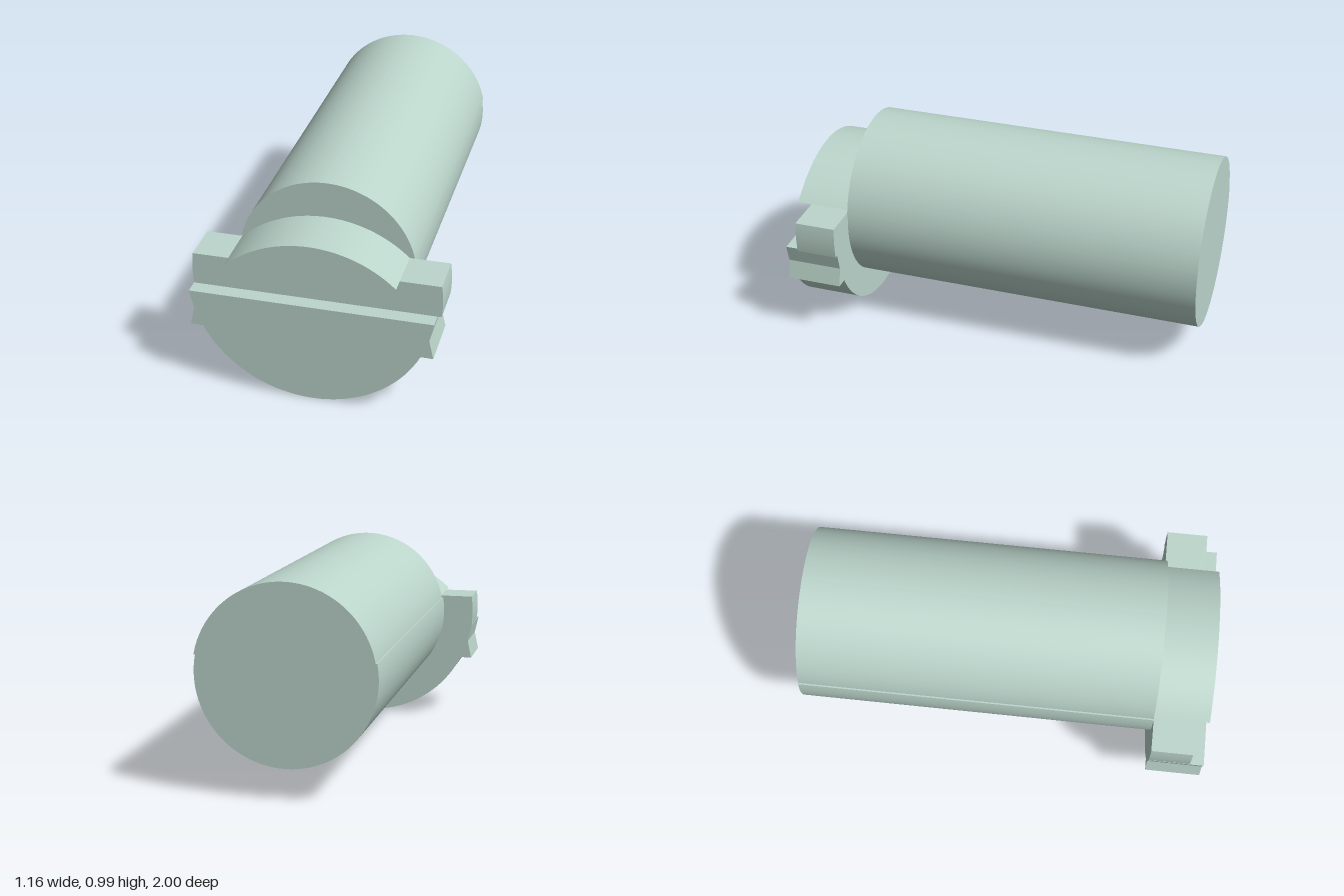
import * as THREE from 'three';
import { toCreasedNormals } from 'three/addons/utils/BufferGeometryUtils.js';

const material = new THREE.MeshStandardMaterial({ color: 0xbcd6cc });

// Extrude a front profile between two depths, smooth on arcs and sharp at corners
function slab(name, shape, z0, z1) {
  const geo = new THREE.ExtrudeGeometry(shape, {
    depth: z1 - z0, bevelEnabled: false, curveSegments: 64,
  });
  geo.translate(0, 0, z0);
  const mesh = new THREE.Mesh(toCreasedNormals(geo, 0.2), material);
  mesh.name = name;
  return mesh;
}

// Angle of a point around a centre
const angle = (cx, cy, x, y) => Math.atan2(y - cy, x - cx);

export function createModel() {
  const group = new THREE.Group();
  group.name = 'slottedPin';
  const back = 0.73;

  // Shaft: upper arc, then a lower arc shifted slightly sideways, leaving a fine seam
  const r = 0.418, cy = 0.567, seam = 0.645, shift = -0.007;
  const a = Math.asin((seam - cy) / r);
  const shaft = new THREE.Shape();
  shaft.absarc(0, cy, r, a, Math.PI - a, false);
  shaft.absarc(shift, cy, r, Math.PI - a, Math.PI * 2 + a, false);
  group.add(slab('shaft', shaft, -1, back));

  // Lower head: round bottom with a V notch in each flank
  const hx = -0.01, hy = 0.566, hr = 0.566, ledge = 0.318;
  const b = Math.asin((ledge - hy) / hr);
  const lower = new THREE.Shape();
  lower.absarc(hx, hy, hr, Math.PI - b, Math.PI * 2 + b, false);
  const flank = [[0.567, ledge], [0.547, 0.41], [0.567, 0.498]];
  flank.forEach(([x, y]) => lower.lineTo(hx + x, y));
  [...flank].reverse().forEach(([x, y]) => lower.lineTo(hx - x, y));
  lower.closePath();
  group.add(slab('lowerHead', lower, back, 1));

  // Cross bar: set back from the front to form the slot, with gently curved ends
  const br = 0.58, by = 0.57, y0 = 0.498, y1 = 0.655;
  const s0 = Math.asin((y0 - by) / br), s1 = Math.asin((y1 - by) / br);
  const bar = new THREE.Shape();
  bar.absarc(0, by, br, s0, s1, false);
  bar.absarc(0, by, br, Math.PI - s1, Math.PI - s0, false);
  bar.closePath();
  group.add(slab('crossBar', bar, back, 0.93));

  // Upper head: shallow dome overhanging the slot
  const dx = -0.01, dy = 0.237, dr = 0.575;
  const d = angle(0, dy, Math.sqrt(dr * dr - (y1 - dy) ** 2), y1);
  const dome = new THREE.Shape();
  dome.absarc(dx, dy, dr, d, Math.PI - d, false);
  dome.closePath();
  group.add(slab('upperHead', dome, back, 1));

  return group;
}
